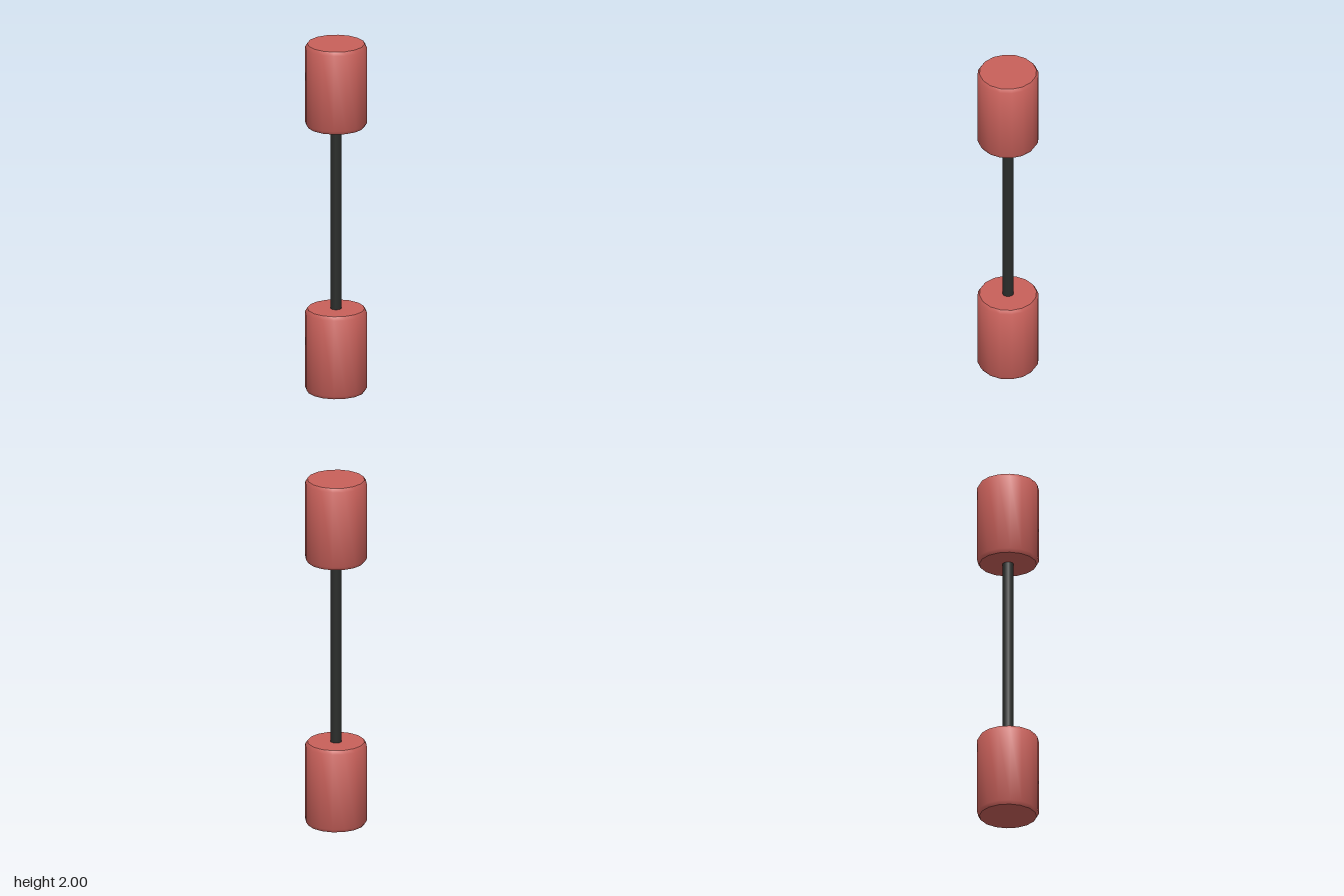
import * as THREE from 'three';
import { toCreasedNormals } from 'three/addons/utils/BufferGeometryUtils.js';

const RADIUS = 0.17, HEIGHT = 0.475, BEVEL_IN = 0.0125, BEVEL_UP = 0.02;

// Solid cylinder with bevelled rims, centred on its own height
function createWeightGeometry() {
  const h = HEIGHT / 2;
  const profile = [
    [0, -h], [RADIUS - BEVEL_IN, -h], [RADIUS, -h + BEVEL_UP],
    [RADIUS, h - BEVEL_UP], [RADIUS - BEVEL_IN, h], [0, h],
  ].map(([x, y]) => new THREE.Vector2(x, y));
  // Smooth around the wall and bevel, sharp at the flat caps
  return toCreasedNormals(new THREE.LatheGeometry(profile, 16), THREE.MathUtils.degToRad(40));
}

export function createModel() {
  const model = new THREE.Group();
  model.name = 'dumbbell';
  const red = new THREE.MeshStandardMaterial({ color: 0xc8605a });
  const black = new THREE.MeshStandardMaterial({ color: 0x2a2c2a });

  // Two matching end weights
  const weightGeometry = createWeightGeometry();
  for (const [name, y] of [['lowerWeight', HEIGHT / 2], ['upperWeight', 2 - HEIGHT / 2]]) {
    const weight = new THREE.Mesh(weightGeometry, red);
    weight.name = name;
    weight.position.y = y;
    model.add(weight);
  }

  // Grip bar, ends sunk slightly into the weights
  const bar = new THREE.Mesh(new THREE.CylinderGeometry(0.031, 0.031, 2 - 2 * HEIGHT + 0.04, 16), black);
  bar.name = 'gripBar';
  bar.position.y = 1;
  model.add(bar);

  return model;
}
